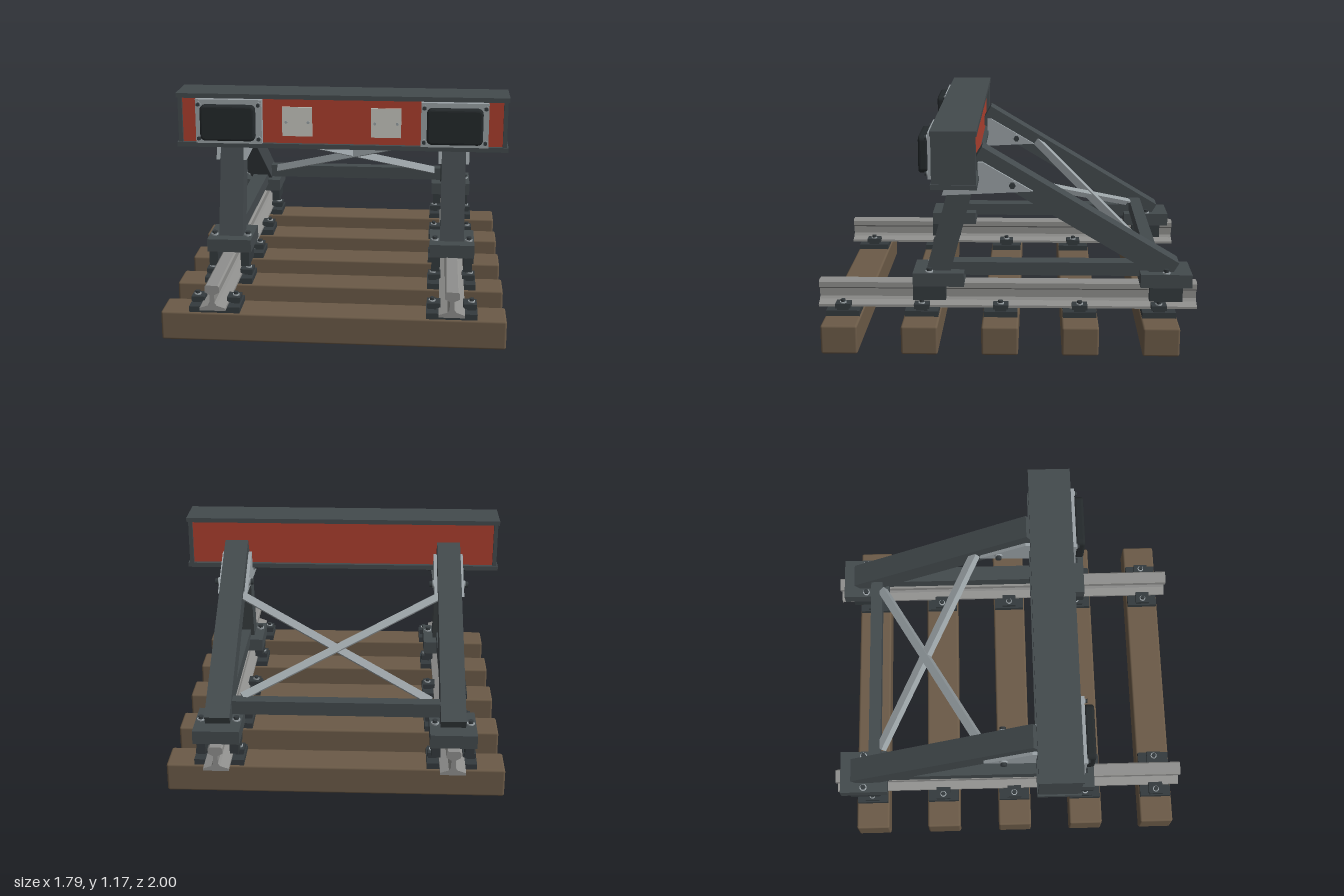
import * as THREE from 'three';
import { RoundedBoxGeometry } from 'three/addons/geometries/RoundedBoxGeometry.js';

const mat = (color) => new THREE.MeshStandardMaterial({ color });
const steel = mat(0x434a4d), dark = mat(0x343a3d), light = mat(0x9aa2a6), railGrey = mat(0x8f8f8d);
const wood = mat(0x6b5a47), red = mat(0xac3f2e), rubber = mat(0x24292b), white = mat(0xc8c8c0);
const GAUGE = 0.605;

export function createModel() {
  const root = new THREE.Group();
  root.name = 'railwayEndStop';

  const add = (name, geo, material, x = 0, y = 0, z = 0, parent = root) => {
    const m = new THREE.Mesh(geo, material);
    m.name = name;
    m.position.set(x, y, z);
    parent.add(m);
    return m;
  };
  // Box given by its limits on each axis
  const box = (name, material, [x0, x1], [y0, y1], [z0, z1]) =>
    add(name, new THREE.BoxGeometry(x1 - x0, y1 - y0, z1 - z0), material,
      (x0 + x1) / 2, (y0 + y1) / 2, (z0 + z1) / 2);
  const around = (c, half) => [c - half, c + half];
  // Straight member between two points; local z runs along its length
  const member = (name, a, b, up = [0, 1, 0]) => {
    const g = new THREE.Group();
    const p = new THREE.Vector3(...a), q = new THREE.Vector3(...b);
    g.name = name;
    g.position.copy(p).add(q).multiplyScalar(0.5);
    g.up.set(...up);
    g.lookAt(q);
    root.add(g);
    return { g, length: p.distanceTo(q) };
  };
  // Hexagonal bolt head on a washer, pointing along the chosen axis
  const bolt = (x, y, z, r, axis = 'y', dir = 1) => {
    const g = new THREE.Group();
    g.name = 'bolt';
    add('washer', new THREE.CylinderGeometry(r * 1.35, r * 1.35, r * 0.5, 16), light, 0, r * 0.25, 0, g);
    add('boltHead', new THREE.CylinderGeometry(r, r, r, 6), dark, 0, r, 0, g);
    g.position.set(x, y, z);
    if (axis === 'z') g.rotation.x = dir * Math.PI / 2;
    if (axis === 'x') g.rotation.z = -dir * Math.PI / 2;
    root.add(g);
  };
  const extrude = (shape, depth, bevel = 0) => new THREE.ExtrudeGeometry(shape, {
    depth, bevelEnabled: bevel > 0, bevelSize: bevel, bevelThickness: bevel, bevelSegments: 3, curveSegments: 6 });
  const polygon = (pts) => new THREE.Shape(pts.map(([x, y]) => new THREE.Vector2(x, y)));

  // Sleepers with tie plates and rail clips
  for (let i = 0; i < 5; i++) {
    const z = 0.863 - i * 0.4145;
    add('sleeper', new RoundedBoxGeometry(1.765, 0.155, 0.19, 2, 0.012), wood, 0, 0.0775, z);
    for (const s of [-1, 1]) {
      box('tiePlate', dark, around(s * GAUGE, 0.13), [0.153, 0.185], around(z, 0.088));
      for (const t of [-1, 1]) {
        const x = s * GAUGE + t * 0.1;
        box('clipSeat', dark, around(x, 0.022), [0.183, 0.198], around(z, 0.03));
        box('railClip', dark, around(s * GAUGE + t * 0.092, 0.034), [0.196, 0.22], around(z, 0.04));
        bolt(x, 0.22, z, 0.013);
      }
    }
  }

  // Rails
  const halfRail = [[0.066, 0.185], [0.066, 0.198], [0.022, 0.213], [0.012, 0.228],
    [0.012, 0.27], [0.037, 0.284], [0.037, 0.312], [0.029, 0.32]];
  const section = polygon([...halfRail, ...halfRail.map(([x, y]) => [-x, y]).reverse()]);
  for (const s of [-1, 1]) add('rail', extrude(section, 2), railGrey, s * GAUGE, 0, -1);

  // Side frames
  const gusset = polygon([[0.337, 0.8], [0.31, 0.882], [0.15, 0.882], [0.15, 0.975], [0.125, 0.975], [-0.134, 0.823]]);
  for (const s of [-1, 1]) {
    const x = s * GAUGE;
    // Feet clamped round the rail head
    for (const [z0, z1, jaw] of [[0.225, 0.492, 0.407], [-0.963, -0.695, -0.83]]) {
      box('foot', steel, around(x, 0.12), [0.318, 0.39], [z0, z1]);
      for (const t of [-1, 1]) {
        box('footJaw', dark, around(x + t * 0.086, 0.023), [0.24, 0.32], around(jaw, 0.086));
        bolt(x + t * 0.092, 0.39, jaw, 0.015);
      }
    }
    const post = member('frontPost', [x, 0.37, 0.366], [x, 0.89, 0.225]);
    add('postTube', new THREE.BoxGeometry(0.13, 0.124, post.length), steel, 0, 0, 0, post.g);
    const strut = member('rearStrut', [x, 0.385, -0.868], [x, 1.0, 0.16]);
    add('strutTube', new THREE.BoxGeometry(0.13, 0.12, strut.length), steel, 0, 0, 0, strut.g);
    box('bottomTie', steel, around(x, 0.045), [0.36, 0.43], [-0.78, 0.36]);
    // Gusset plates on both faces of the frame
    for (const t of [-1, 1]) {
      const plate = add('gussetPlate', extrude(gusset, 0.018), light, x + t * 0.074 + 0.009, 0, 0);
      plate.rotation.y = -Math.PI / 2;
      for (const [z, y] of [[0.214, 0.868], [-0.027, 0.857]]) bolt(x + t * 0.083, y, z, 0.017, 'x', t);
    }
  }
  box('rearCrossBeam', steel, [-0.56, 0.56], [0.405, 0.48], [-0.792, -0.725]);

  // Crossed angle bars in the plane of the rear struts
  for (const s of [-1, 1]) {
    const lift = s * 0.004;
    const { g, length } = member('crossBrace', [s * 0.49, 0.476 + lift, -0.732],
      [-s * 0.55, 0.836 + lift, -0.17], [0, 0.856, -0.516]);
    add('braceFlange', new THREE.BoxGeometry(0.045, 0.011, length), light, 0, 0, 0, g);
    add('braceLeg', new THREE.BoxGeometry(0.011, 0.036, length), light, s * 0.017, -0.02, 0, g);
  }

  // Headstock: red box girder between dark flanges and end plates
  box('girderWeb', red, [-0.87, 0.87], [0.9, 1.155], [0.17, 0.355]);
  for (const y of [0.892, 1.162]) box('girderFlange', steel, [-0.893, 0.893], around(y, 0.0125), [0.145, 0.378]);
  for (const s of [-1, 1]) box('girderEnd', steel, around(s * 0.873, 0.011), [0.9, 1.155], [0.15, 0.373]);

  // Rounded impact pads on mounting plates
  const padShape = new THREE.Shape();
  const [w, h, r] = [0.135, 0.084, 0.015];
  padShape.absarc(w - r, h - r, r, 0, Math.PI / 2);
  padShape.absarc(-w + r, h - r, r, Math.PI / 2, Math.PI);
  padShape.absarc(-w + r, -h + r, r, Math.PI, Math.PI * 1.5);
  padShape.absarc(w - r, -h + r, r, Math.PI * 1.5, Math.PI * 2);
  const padGeo = extrude(padShape, 0.026, 0.013);
  for (const s of [-1, 1]) {
    const x = s * GAUGE, y = 1.027;
    box('padMountingPlate', light, around(x, 0.179), around(y, 0.12), [0.35, 0.398]);
    add('impactPad', padGeo, rubber, x, y, 0.41);
    for (const i of [-1, 1]) for (const j of [-1, 1]) bolt(x + i * 0.162, y + j * 0.093, 0.398, 0.011, 'z');
    // Reflector panels with two screws
    box('reflectorPanel', white, around(s * 0.239, 0.081), around(1.025, 0.08), [0.35, 0.364]);
    for (const t of [-1, 1]) {
      const screw = add('panelScrew', new THREE.CylinderGeometry(0.008, 0.008, 0.006, 12), light,
        s * 0.239 + t * 0.06, 1.022, 0.366);
      screw.rotation.x = Math.PI / 2;
    }
  }
  return root;
}
